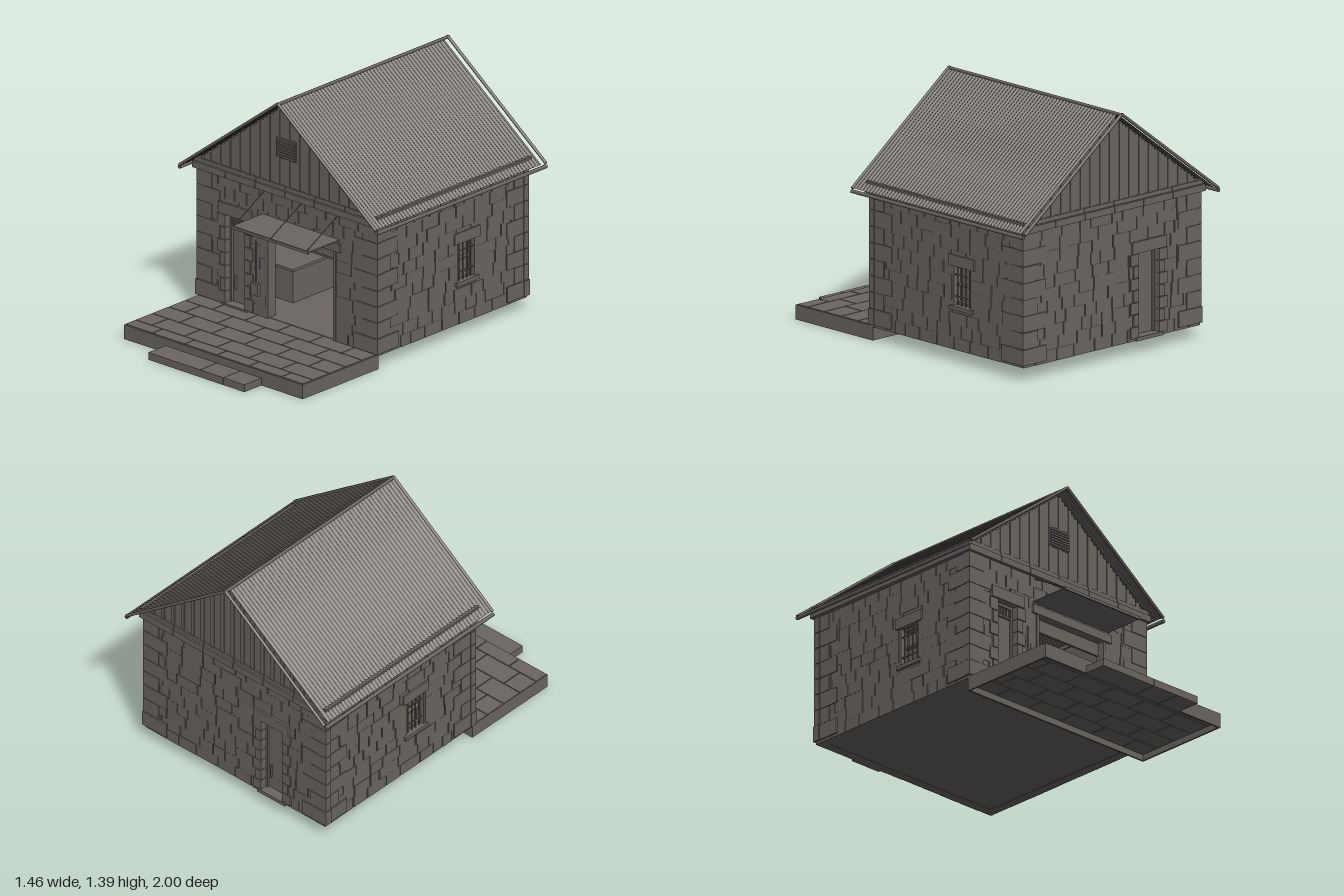
import * as THREE from 'three';
import { mergeGeometries } from 'three/addons/utils/BufferGeometryUtils.js';

const stone = new THREE.MeshStandardMaterial({ color: 0x6b6661, side: THREE.DoubleSide });
stone.name = 'warm grey stone';

// Seeded random numbers for the irregular masonry
let seed = 7;
const rnd = () => (seed = (seed * 16807) % 2147483647) / 2147483647;

// Box geometry from min / max limits
function block(x0, x1, y0, y1, z0, z1) {
  return new THREE.BoxGeometry(x1 - x0, y1 - y0, z1 - z0)
    .translate((x0 + x1) / 2, (y0 + y1) / 2, (z0 + z1) / 2);
}
// Round bar between two points
function bar(a, b, r, sides = 6) {
  const A = new THREE.Vector3(...a), B = new THREE.Vector3(...b), d = B.clone().sub(A);
  const g = new THREE.CylinderGeometry(r, r, d.length(), sides);
  g.applyQuaternion(new THREE.Quaternion().setFromUnitVectors(new THREE.Vector3(0, 1, 0), d.normalize()));
  return g.translate(...A.add(B).multiplyScalar(0.5).toArray());
}
function add(parent, name, geos) {
  const m = new THREE.Mesh(Array.isArray(geos) ? mergeGeometries(geos) : geos, stone);
  m.name = name;
  parent.add(m);
  return m;
}

const Y0 = 0.075, Y1 = 0.83, RIDGE = 1.375, SLOPE = 0.535 / 0.71;

// Wall in its own frame: x along the wall, +z outward, holes are [x0, x1, y0, y1]
function wall(parent, name, half, holes) {
  const g = new THREE.Group();
  g.name = name;
  parent.add(g);
  const s = new THREE.Shape([[-half, Y0], [half, Y0], [half, Y1], [-half, Y1]].map(p => new THREE.Vector2(...p)));
  for (const [a, b, c, d] of holes)
    s.holes.push(new THREE.Path([[a, c], [a, d], [b, d], [b, c]].map(p => new THREE.Vector2(...p))));
  add(g, 'wallCore', new THREE.ExtrudeGeometry(s, { depth: 0.05, bevelEnabled: false }).translate(0, 0, -0.05));

  // Facing stones, course by course, cut around the openings
  const stones = [], h = (Y1 - Y0) / 11;
  for (let i = 0; i < 11; i++) {
    const y0 = Y0 + i * h, y1 = y0 + h;
    const cuts = holes.filter(o => o[2] < y1 && o[3] > y0).sort((p, q) => p[0] - q[0]);
    let from = -half;
    for (const [a, b] of [...cuts, [half, half]]) {
      let x = from;
      while (x < a - 0.001) {
        let e = x + 0.07 + rnd() * 0.09;
        if (e > a - 0.04) e = a;
        stones.push(block(x, e - (e < a ? 0.006 : 0), y0, y1, -0.002, 0.004 + rnd() * 0.003));
        x = e;
      }
      from = b;
    }
  }
  add(g, 'facingStones', stones);

  // Alternating corner stones
  const quoins = [];
  for (let i = 0; i < 8; i++) {
    const len = i % 2 ? 0.1 : 0.16, y = 0.09 + i * 0.0915, out = i ? 0.01 : 0.014;
    quoins.push(block(-half - out, -half + len, y, y + 0.088, -0.03, out),
      block(half - len, half + out, y, y + 0.088, -0.03, out));
  }
  add(g, 'cornerStones', quoins);
  return g;
}

function door(parent, x0, x1, top, withTransom) {
  const g = new THREE.Group();
  g.name = 'door';
  parent.add(g);
  const leaf = [block(x0, x1, 0.085, top, -0.05, -0.038)];
  for (const x of [x0 + 0.008, x1 - 0.008]) leaf.push(block(x - 0.008, x + 0.008, 0.085, top, -0.04, -0.025));
  leaf.push(block(x0, x1, top - 0.016, top, -0.04, -0.025));
  if (withTransom) {
    leaf.push(block(x0, x1, top - 0.075, top - 0.065, -0.04, -0.025));
    for (let i = 1; i < 7; i++) {
      const x = x0 + (x1 - x0) * i / 7;
      leaf.push(block(x - 0.003, x + 0.003, top - 0.065, top - 0.012, -0.04, -0.03));
    }
  }
  leaf.push(block(x0 + 0.035, x0 + 0.041, 0.17, 0.25, -0.04, -0.025));
  add(g, 'doorLeaf', leaf);
  const jambs = [];
  for (let i = 0; i < 7; i++) {
    const h = (top - 0.09) / 7, y = 0.09 + i * h, w = i % 2 ? 0.035 : 0.055;
    jambs.push(block(x0 - w, x0 + 0.004, y, y + h - 0.004, -0.04, 0.014),
      block(x1 - 0.004, x1 + w, y, y + h - 0.004, -0.04, 0.014));
  }
  add(g, 'doorJambs', jambs);
  add(g, 'doorLintel', block(x0 - 0.045, x1 + 0.045, top, top + 0.066, -0.04, 0.018));
  add(g, 'threshold', block(x0 - 0.02, x1 + 0.02, 0.075, 0.095, -0.05, 0.02));
}

function barredWindow(parent, x) {
  const g = new THREE.Group();
  g.name = 'barredWindow';
  g.position.x = x;
  parent.add(g);
  add(g, 'windowLintel', block(-0.1, 0.1, 0.54, 0.602, -0.04, 0.014));
  add(g, 'windowSill', block(-0.09, 0.09, 0.298, 0.32, -0.04, 0.018));
  const f = [block(-0.08, 0.08, 0.32, 0.54, -0.05, -0.045)];
  for (const s of [-1, 1]) f.push(block(s * 0.073 - 0.008, s * 0.073 + 0.008, 0.32, 0.54, -0.045, 0.004));
  for (const y of [0.328, 0.43, 0.532]) f.push(block(-0.08, 0.08, y - 0.006, y + 0.006, -0.045, -0.02));
  add(g, 'windowFrame', f);
  const bars = [-0.045, -0.015, 0.015, 0.045].map(p => bar([p, 0.32, -0.008], [p, 0.54, -0.008], 0.004));
  for (const y of [0.37, 0.49]) bars.push(block(-0.07, 0.07, y - 0.003, y + 0.003, -0.01, -0.004));
  add(g, 'windowBars', bars);
}

// Corrugated sheet running from ridge to eave, side = 1 or -1
function roofSheet(side) {
  const g = new THREE.PlaneGeometry(1, 1, 216, 1), p = g.attributes.position;
  for (let i = 0; i < p.count; i++) {
    const u = p.getX(i) + 0.5, v = 0.5 - p.getY(i);
    const wave = 0.004 * Math.sin(u * Math.PI * 2 * 54);
    p.setXYZ(i, side * (0.71 * v + wave * 0.6), RIDGE - 0.535 * v + wave * 0.8, 0.355 - 1.31 * u);
  }
  g.computeVertexNormals();
  return g;
}

export function createModel() {
  const model = new THREE.Group();
  model.name = 'stoneHouse';

  // Walls
  const front = wall(model, 'frontWall', 0.65, [[-0.45, -0.3, 0.085, 0.605], [-0.145, 0.345, 0.085, 0.605]]);
  front.position.z = 0.275;
  const back = wall(model, 'backWall', 0.65, [[0.19, 0.35, 0.085, 0.56]]);
  back.position.z = -0.905;
  back.rotation.y = Math.PI;
  for (const s of [1, -1]) {
    const x = s > 0 ? 0.115 : 0.125;
    const w = wall(model, s > 0 ? 'rightWall' : 'leftWall', 0.59, [[x - 0.08, x + 0.08, 0.32, 0.54]]);
    w.position.set(s * 0.645, 0, -0.315);
    w.rotation.y = s * Math.PI / 2;
    barredWindow(w, x);
  }
  door(front, -0.45, -0.3, 0.605, true);
  door(back, 0.19, 0.35, 0.56, false);
  add(model, 'floor', block(-0.61, 0.61, 0.078, 0.088, -0.87, 0.27));

  // Wide shop opening with its frame and canopy
  add(front, 'openingLintel', [block(-0.19, 0.39, 0.605, 0.655, -0.04, 0.018)]);
  add(front, 'openingFrame', [block(-0.158, -0.138, 0.085, 0.605, -0.05, 0.01),
    block(0.338, 0.356, 0.085, 0.605, -0.05, 0.01), block(-0.145, 0.345, 0.53, 0.54, -0.045, -0.03),
    block(-0.145, 0.345, 0.54, 0.605, -0.042, -0.034)]);
  add(model, 'canopy', [block(-0.18, 0.38, 0.67, 0.677, 0.275, 0.525),
    block(-0.18, 0.38, 0.664, 0.68, 0.521, 0.53)]);
  add(model, 'canopyRods', [-0.17, 0.1, 0.365].map(x => bar([x, 0.81, 0.28], [x, 0.677, 0.525], 0.003)));
  add(model, 'wallBox', [block(-0.25, -0.2, 0.2, 0.268, 0.275, 0.3), bar([-0.226, 0.268, 0.287], [-0.226, 0.51, 0.287], 0.004)]);

  // Furniture inside
  add(model, 'counter', [block(-0.5, -0.19, 0.085, 0.27, -0.36, 0.03), block(-0.51, -0.18, 0.27, 0.285, -0.37, 0.04)]);
  const shelves = [0.18, 0.26, 0.36, 0.42, 0.49].map(y => block(-0.14, 0.5, y, y + 0.01, -0.85, -0.77));
  for (const x of [-0.14, 0.035, 0.22, 0.49]) shelves.push(block(x, x + 0.01, 0.088, 0.5, -0.85, -0.77));
  add(model, 'shelves', shelves);
  const legs = [];
  for (const s of [-1, 1]) for (const z of [-0.4, -0.2])
    legs.push(bar([0.157 + s * 0.055, 0.088, z], [0.157 + s * 0.012, 0.345, -0.3], 0.007));
  legs.push(block(0.12, 0.195, 0.185, 0.195, -0.35, -0.34), block(0.11, 0.2, 0.285, 0.293, -0.33, -0.27));
  add(model, 'trestle', legs);

  // Cornice in two layers all round
  const cornice = [];
  for (const [y0, y1, o] of [[0.82, 0.857, 0.003], [0.86, 0.884, -0.004]]) {
    for (const s of [-1, 1]) {
      const x = s * (0.655 + o);
      cornice.push(block(x - 0.018, x + 0.018, y0, y1, -0.928 - o, 0.298 + o));
    }
    for (const z of [0.28 + o, -0.91 - o])
      for (let i = 0; i < 6; i++) {
        const x = -0.65 + i * 1.3 / 6;
        cornice.push(block(x, x + 1.3 / 6 - 0.003, y0, y1, z - 0.018, z + 0.018));
      }
  }
  add(model, 'cornice', cornice);

  // Gables of narrow boards with square-cut tops
  for (const [name, z, d] of [['frontGable', 0.275, 1], ['backGable', -0.905, -1]]) {
    const boards = [];
    for (let i = -26; i < 26; i++) {
      const x = i * 0.024, edge = Math.max(Math.abs(x), Math.abs(x + 0.024));
      const top = RIDGE - 0.008 - SLOPE * edge;
      const out = i % 3 ? 0 : 0.005;
      if (top > 0.885) boards.push(block(x, x + 0.024, 0.87, top, z - 0.01 + d * out, z + 0.01 + d * out));
    }
    add(model, name, boards);
  }
  const vent = [block(-0.07, 0.075, 1.04, 1.155, 0.28, 0.293)];
  for (let i = 0; i < 7; i++) vent.push(block(-0.066, 0.071, 1.046 + i * 0.015, 1.056 + i * 0.015, 0.28, 0.299));
  add(model, 'gableVent', vent);

  // Roof sheets, ridge, verge bars and eave pipes
  const verge = [];
  for (const s of [-1, 1]) {
    add(model, 'roofSheet', roofSheet(s));
    add(model, 'eavePipe', bar([s * 0.72, 0.825, 0.355], [s * 0.72, 0.825, -0.985], 0.011, 8));
    for (const z of [0.356, -0.988]) verge.push(bar([0, 1.38, z], [s * 0.715, 0.84, z], 0.009));
  }
  add(model, 'vergeBars', verge);
  add(model, 'ridgeBar', bar([0, 1.377, 0.362], [0, 1.377, -0.997], 0.009, 8));

  // Terrace paving in staggered rows, hollow beneath, with a kerb
  const paving = [], rows = [0.265, 0.39, 0.52, 0.65, 0.78, 0.862];
  for (let r = 0; r < 5; r++) {
    let x = -0.648;
    for (let e = -0.648 + (r % 2 ? 0.12 : 0.2); x < 0.645; e += 0.235) {
      const end = e > 0.58 ? 0.648 : e;
      paving.push(block(x, end - 0.005, 0.035, 0.085, rows[r], rows[r + 1] - 0.005));
      x = end;
    }
  }
  add(model, 'terracePaving', paving);
  add(model, 'terraceBed', block(-0.645, 0.645, 0.055, 0.08, 0.267, 0.86));
  add(model, 'terraceKerb', [block(-0.65, 0.65, 0, 0.082, 0.853, 0.865), block(-0.65, 0.65, 0, 0.082, 0.265, 0.275),
    block(-0.65, -0.64, 0, 0.082, 0.265, 0.865), block(0.64, 0.65, 0, 0.082, 0.265, 0.865)]);

  // Front step of three stones
  add(model, 'frontStep', [[-0.35, 0.025], [0.028, 0.195], [0.198, 0.35]].map(([a, b]) => block(a, b, 0, 0.042, 0.865, 1)));
  return model;
}
